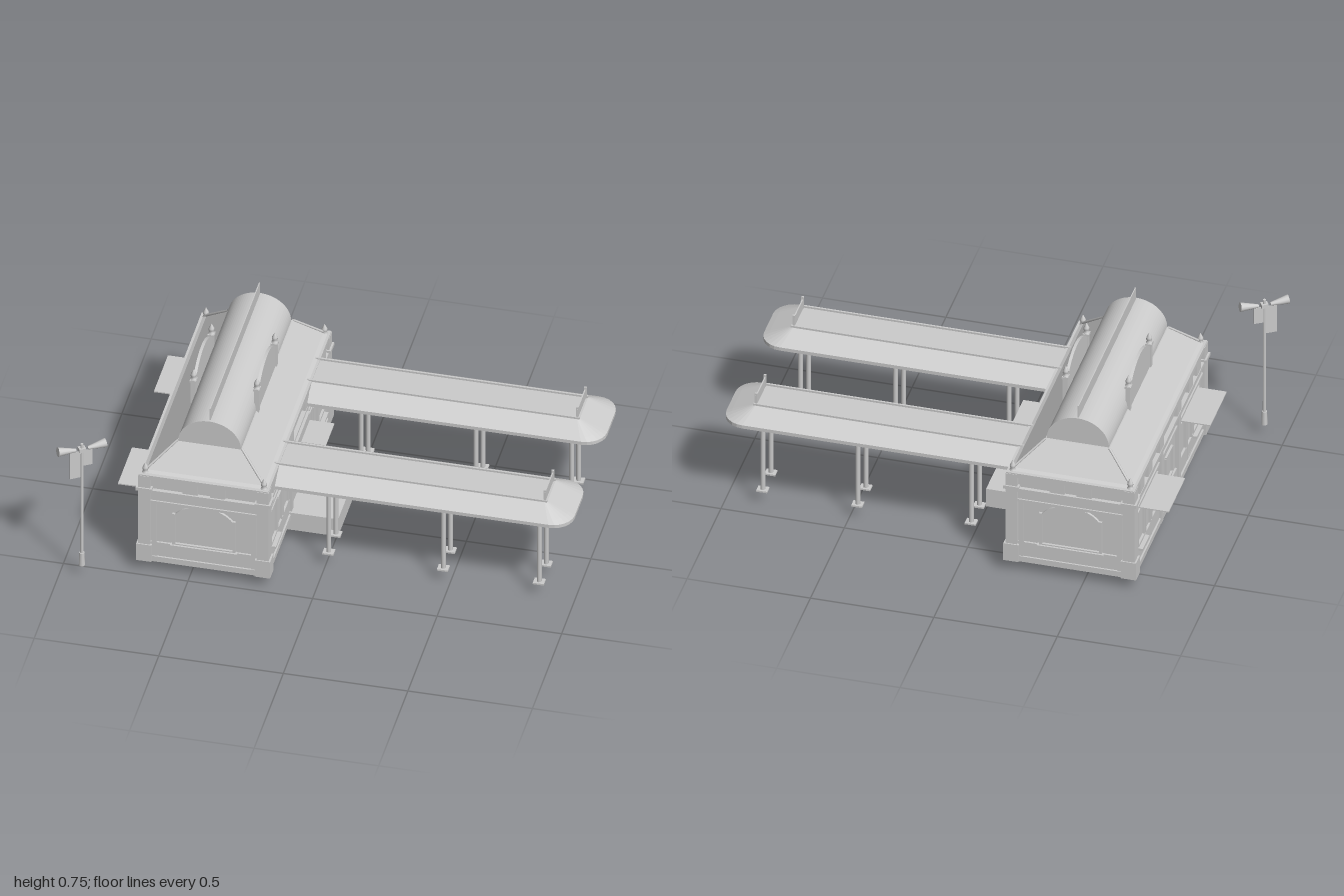
import * as THREE from 'three';

const grey = new THREE.MeshStandardMaterial({ color: 0xcccccc, side: THREE.DoubleSide });
const CX = -0.445, CZ = -0.07; // centre of the station house

export function createModel() {
  const root = new THREE.Group();

  function add(name, geo, parent = root) {
    const m = new THREE.Mesh(geo, grey);
    m.name = name;
    parent.add(m);
    return m;
  }
  function box(name, x0, x1, y0, y1, z0, z1, parent = root) {
    const m = add(name, new THREE.BoxGeometry(x1 - x0, y1 - y0, z1 - z0), parent);
    m.position.set((x0 + x1) / 2, (y0 + y1) / 2, (z0 + z1) / 2);
    return m;
  }
  // flat-sided skin through closed rings of [x, y, z], optionally capped at the last ring
  function loft(name, rings, cap, parent = root) {
    const p = [], n = rings[0].length;
    for (let r = 0; r + 1 < rings.length; r++)
      for (let i = 0; i < n; i++) {
        const j = (i + 1) % n, a = rings[r][i], b = rings[r][j], c = rings[r + 1][j], d = rings[r + 1][i];
        p.push(...a, ...b, ...c, ...a, ...c, ...d);
      }
    const top = rings[rings.length - 1];
    if (cap) for (let i = 1; i + 1 < n; i++) p.push(...top[0], ...top[i], ...top[i + 1]);
    const g = new THREE.BufferGeometry();
    g.setAttribute('position', new THREE.Float32BufferAttribute(p, 3));
    g.computeVertexNormals();
    return add(name, g, parent);
  }
  const rect = (hx, hz, y) => [[CX - hx, y, CZ + hz], [CX + hx, y, CZ + hz], [CX + hx, y, CZ - hz], [CX - hx, y, CZ - hz]];

  // hollow house: side walls, plinth and cornice bands
  const house = new THREE.Group();
  house.name = 'stationHouse';
  root.add(house);
  function band(name, hx, hz, y0, y1, t = 0.02) {
    for (const s of [-1, 1]) {
      const x = CX + s * (hx - t / 2), z = CZ + s * (hz - t / 2);
      box(name, x - t / 2, x + t / 2, y0, y1, CZ - hz, CZ + hz, house);
      box(name, CX - hx + t, CX + hx - t, y0, y1, z - t / 2, z + t / 2, house);
    }
  }
  band('wall', 0.245, 0.525, 0.05, 0.46);
  band('base', 0.26, 0.54, 0.05, 0.075, 0.03);
  band('plinth', 0.253, 0.533, 0.075, 0.14);
  band('architrave', 0.256, 0.536, 0.33, 0.342);
  band('frieze', 0.25, 0.53, 0.342, 0.38);
  band('cornice', 0.262, 0.541, 0.38, 0.395, 0.03);
  band('eave', 0.26, 0.54, 0.445, 0.465, 0.04);

  // corner piers with finials
  const finial = new THREE.LatheGeometry([[0, 0.05], [0.004, 0.042], [0.011, 0.028], [0.012, 0.018], [0.006, 0.012], [0.013, 0.006], [0.013, 0]]
    .reverse().map(([x, y]) => new THREE.Vector2(x, y)), 10);
  for (const sx of [-1, 1]) for (const sz of [-1, 1]) {
    const x = CX + sx * 0.238, z = CZ + sz * 0.518;
    box('cornerPier', x - 0.024, x + 0.024, 0.05, 0.46, z - 0.024, z + 0.024, house);
    box('pierBase', x - 0.031, x + 0.031, 0.05, 0.13, z - 0.029, z + 0.029, house);
    box('pierCap', x - 0.032, x + 0.032, 0.39, 0.405, z - 0.03, z + 0.03, house);
    add('cornerFinial', finial, house).position.set(x, 0.462, z);
  }

  // raised frame around a rectangular opening, on an x-facing wall
  function frame(name, s, z, y0, y1, w, t = 0.008) {
    const x0 = CX + s * 0.245, x1 = x0 + s * 0.009, a = Math.min(x0, x1), b = Math.max(x0, x1);
    for (const e of [-1, 1]) box(name, a, b, y0, y1, z + e * w / 2 - t / 2, z + e * w / 2 + t / 2, house);
    for (const y of [y0, y1]) box(name, a, b, y - t / 2, y + t / 2, z - w / 2, z + w / 2, house);
  }
  for (const s of [-1, 1]) {
    frame('centreWindowFrame', s, -0.06, 0.165, 0.285, 0.095);
    for (const e of [-1, 1]) {
      const at = d => CZ + e * d;
      frame('windowFrame', s, at(0.405), 0.145, 0.305, 0.09);
      frame('windowFrame', s, at(0.205), 0.145, 0.305, 0.09);
      frame('doorFrame', s, at(0.305), 0.08, 0.29, 0.07);
      const x = CX + s * 0.25;
      box('pilaster', x - 0.012, x + 0.012, 0.05, 0.39, at(0.13) - 0.014, at(0.13) + 0.014, house);
      box('bench', x - 0.02, x + 0.02, 0.125, 0.135, at(0.4) - 0.05, at(0.4) + 0.05, house);
      for (const d of [0.13, 0.3, 0.42])
        box('friezeBlock', x - 0.01, x + 0.01, 0.395, 0.445, at(d) - 0.03, at(d) + 0.03, house);
    }
  }

  // arched window surround on each end wall
  function archPath(P, w, y0, spring, rise) {
    const p = new P();
    p.moveTo(-w, y0);
    p.lineTo(w, y0);
    p.lineTo(w, spring);
    p.lineTo(w - 0.012, spring);
    p.quadraticCurveTo(w * 0.6, rise, 0, rise);
    p.quadraticCurveTo(-w * 0.6, rise, -w + 0.012, spring);
    p.lineTo(-w, spring);
    p.closePath();
    return p;
  }
  for (const s of [-1, 1]) {
    const surround = archPath(THREE.Shape, 0.127, 0.137, 0.29, 0.338);
    surround.holes.push(archPath(THREE.Path, 0.115, 0.147, 0.28, 0.326));
    add('endArch', new THREE.ExtrudeGeometry(surround, { depth: 0.01, bevelEnabled: false, curveSegments: 10 }), house)
      .position.set(CX, 0, CZ + s * 0.53 - 0.005);
    const z = CZ + s * 0.528;
    box('archSill', CX - 0.135, CX + 0.135, 0.132, 0.142, z - 0.015, z + 0.015, house);
    for (const e of [-1, 1]) {
      box('endPilaster', CX + e * 0.2 - 0.01, CX + e * 0.2 + 0.01, 0.07, 0.34, z - 0.008, z + 0.008, house);
      box('endFriezeBlock', CX + e * 0.055 - 0.03, CX + e * 0.055 + 0.03, 0.395, 0.45, z - 0.006, z + 0.006, house);
    }
  }

  // hipped lower roof, barrel vault and ridge crest
  loft('lowerRoof', [rect(0.25, 0.525, 0.465), rect(0.235, 0.51, 0.472), rect(0.13, 0.432, 0.575)], true);
  const half = new THREE.Shape();
  half.absellipse(0, 0, 0.126, 0.115, 0, Math.PI, false);
  half.closePath();
  add('barrelVault', new THREE.ExtrudeGeometry(half, { depth: 0.86, bevelEnabled: false, curveSegments: 20 }))
    .position.set(CX, 0.575, CZ - 0.425);
  box('ridgeCrest', CX - 0.002, CX + 0.002, 0.685, 0.745, -0.49, 0.355);
  for (const sx of [-1, 1]) for (const sz of [-1, 1]) { // hip ribs
    const path = new THREE.LineCurve3(new THREE.Vector3(CX + sx * 0.24, 0.473, CZ + sz * 0.515), new THREE.Vector3(CX + sx * 0.13, 0.576, CZ + sz * 0.432));
    add('hipRib', new THREE.TubeGeometry(path, 1, 0.005, 6));
  }

  // arched dormer walls with flanking pillars
  const dormer = new THREE.Shape();
  dormer.moveTo(0.142, 0);
  dormer.lineTo(0.142, 0.095);
  dormer.quadraticCurveTo(0.08, 0.155, 0, 0.155);
  dormer.quadraticCurveTo(-0.08, 0.155, -0.142, 0.095);
  dormer.lineTo(-0.142, 0);
  dormer.closePath();
  const dormerGeo = new THREE.ExtrudeGeometry(dormer, { depth: 0.012, bevelEnabled: false, curveSegments: 14 });
  dormerGeo.rotateY(Math.PI / 2);
  for (const s of [-1, 1]) {
    const x = CX + s * 0.127;
    add('dormerArch', dormerGeo).position.set(x - 0.006, 0.573, -0.057);
    for (const e of [-1, 1]) {
      const z = -0.057 + e * 0.153;
      box('dormerPillar', x - 0.01, x + 0.01, 0.555, 0.675, z - 0.011, z + 0.011);
      box('dormerPillarCap', x - 0.013, x + 0.013, 0.67, 0.68, z - 0.014, z + 0.014);
      add('dormerFinial', finial).position.set(x, 0.678, z);
    }
  }

  // platform canopies: open shell with rounded far end, beams and posts
  function outline(y, hw, end, r) {
    const pts = [[-0.22, y, -hw]];
    for (const s of [-1, 1]) for (let i = 0; i <= 6; i++) {
      const a = (s < 0 ? i - 6 : i) * Math.PI / 12;
      pts.push([end - r + r * Math.cos(a), y, s * (hw - r) + r * Math.sin(a)]);
    }
    pts.push([-0.22, y, hw]);
    return pts;
  }
  for (const z of [0.205, -0.35]) {
    const canopy = new THREE.Group();
    canopy.name = 'platformCanopy';
    canopy.position.z = z;
    root.add(canopy);
    loft('canopyRoof', [outline(0.396, 0.144, 0.993, 0.08), outline(0.398, 0.152, 1, 0.085), outline(0.413, 0.152, 1, 0.085),
      outline(0.425, 0.135, 0.975, 0.07), outline(0.462, 0.077, 0.89, 0.01)], true, canopy);
    for (const s of [-1, 1]) box('canopyRidgeStrip', -0.22, 0.89, 0.46, 0.47, s * 0.072 - 0.004, s * 0.072 + 0.004, canopy);
    box('endBoard', 0.877, 0.882, 0.462, 0.505, -0.072, 0.072, canopy);
    for (const s of [-1, 1]) box('endBoardPost', 0.875, 0.885, 0.462, 0.515, s * 0.066 - 0.004, s * 0.066 + 0.004, canopy);
    for (let i = 0; i < 8; i++) {
      const x = -0.14 + i * 0.142;
      box('crossBeam', x - 0.005, x + 0.005, 0.398, 0.412, -0.145, 0.145, canopy);
    }
    for (const s of [-1, 1]) {
      box('longBeam', -0.22, 0.9, 0.396, 0.41, s * 0.06 - 0.005, s * 0.06 + 0.005, canopy);
      for (const x of [0.01, 0.47, 0.855]) {
        const post = add('post', new THREE.CylinderGeometry(0.01, 0.01, 0.34, 8), canopy);
        post.position.set(x, 0.228, s * 0.06);
        box('postFoot', x - 0.022, x + 0.022, 0.055, 0.062, s * 0.06 - 0.018, s * 0.06 + 0.018, canopy);
      }
    }
  }

  // flat awnings, board over the entrance and entrance step
  for (const z of [0.235, -0.38]) box('sideAwning', -0.815, -0.69, 0.313, 0.318, z - 0.12, z + 0.12);
  box('entranceAwning', -0.2, -0.073, 0.338, 0.343, -0.185, 0.055);
  box('entranceBoard', -0.2, -0.172, 0.302, 0.385, -0.185, 0.055);
  box('entranceStep', -0.21, 0.005, 0, 0.083, -0.21, 0.083);

  // street lamp with two horn-shaped heads and banners
  const lamp = new THREE.Group();
  lamp.name = 'streetLamp';
  lamp.position.set(-0.913, 0, 0.555);
  lamp.rotation.y = Math.atan2(0.53, 0.85);
  root.add(lamp);
  add('lampPole', new THREE.CylinderGeometry(0.006, 0.007, 0.58, 8), lamp).position.y = 0.35;
  add('lampBase', new THREE.CylinderGeometry(0.011, 0.013, 0.06, 8), lamp).position.y = 0.08;
  box('lampCollar', -0.014, 0.014, 0.605, 0.622, -0.012, 0.012, lamp);
  for (const s of [-1, 1]) {
    const horn = add('lampHead', new THREE.CylinderGeometry(0.019, 0.007, 0.075, 12), lamp);
    horn.position.set(s * 0.062, 0.619, 0);
    horn.rotation.z = -s * (Math.PI / 2 - 0.12);
    const y = s < 0 ? 0.48 : 0.533;
    box('banner', s < 0 ? -0.05 : 0.005, s < 0 ? -0.005 : 0.043, y, 0.606, -0.002, 0.002, lamp);
  }
  return root;
}
